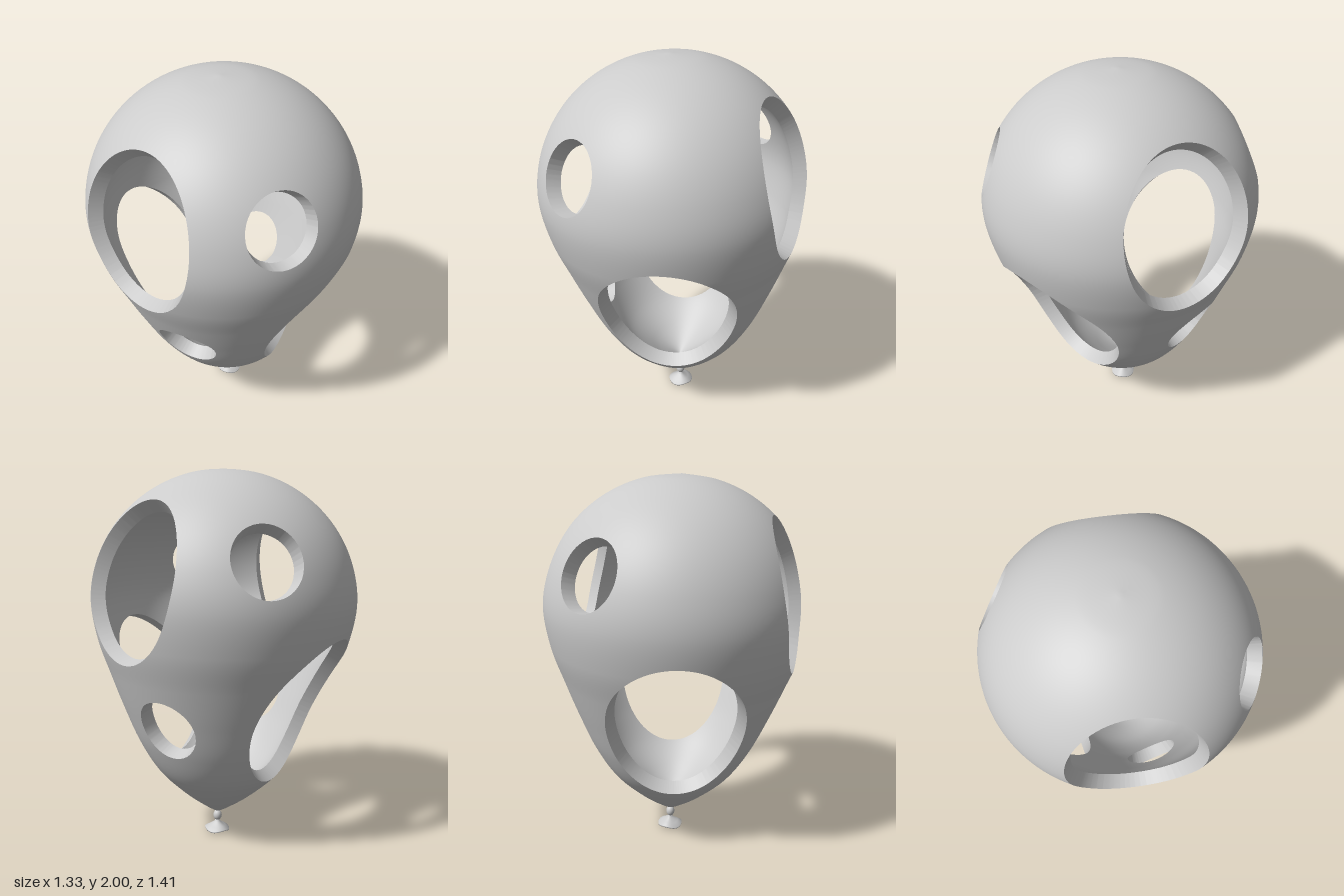
import * as THREE from 'three';
import { mergeVertices } from 'three/addons/utils/BufferGeometryUtils.js';

const THICKNESS = 0.075;
const TILT = 0.036;
const PIVOT_Y = 1.3;

// Balloon profile (radius, height): tapering neck, then a dome
const neck = [[0.008, 0.115], [0.08, 0.16], [0.2, 0.25], [0.34, 0.385], [0.445, 0.55],
  [0.53, 0.74], [0.605, 0.93], [0.67, 1.11]];
const points = neck.map(([r, y]) => new THREE.Vector2(r, y));
for (let i = 0; i <= 6; i++) {
  const a = (i / 6) * Math.PI / 2;
  points.push(new THREE.Vector2(0.705 * Math.cos(a), 1.31 + 0.69 * Math.sin(a)));
}
const profile = new THREE.SplineCurve(points);

// Oval openings: azimuth from the front, centre on the profile, slope direction, half sizes.
// Each one repeats half a turn around the axis.
const holes = [];
for (const [deg, r, y, sr, sy, a, b] of [
  [-17.5, 0.66, 1.555, -0.34, 0.94, 0.174, 0.18],
  [24, 0.515, 0.768, 0.4, 0.917, 0.35, 0.437],
  [97.5, 0.557, 1.42, -0.2, 0.98, 0.335, 0.405],
  [114, 0.515, 0.7, 0.41, 0.912, 0.16, 0.17],
]) {
  for (const turn of [0, 180]) {
    const az = THREE.MathUtils.degToRad(deg + turn);
    holes.push({ c: Math.cos(az), s: Math.sin(az), r, y, sr, sy, a, b });
  }
}

// Surface point at (u around, v up): outer and inner positions, normal, and opening distance
function sample(u, v) {
  const az = u * Math.PI * 2, s = Math.sin(az), c = Math.cos(az);
  const p = profile.getPoint(v);
  if (v >= 1) p.x = 0;
  const t = profile.getTangent(v);
  const nr = v >= 1 ? 0 : t.y, ny = v >= 1 ? 1 : -t.x;
  const ri = Math.max(p.x - THICKNESS * nr, 0), yi = p.y - THICKNESS * ny;
  const outer = [p.x * s, p.y, p.x * c];
  let f = 10;
  for (const h of holes) {
    const radial = outer[0] * h.s + outer[2] * h.c;
    if (radial <= 0) continue;
    const across = outer[0] * h.c - outer[2] * h.s;
    const along = (radial - h.r) * h.sr + (p.y - h.y) * h.sy;
    f = Math.min(f, Math.hypot(across / h.a, along / h.b) - 1);
  }
  return { u, v, f, outer, inner: [ri * s, yi, ri * c], normal: [nr * s, ny, nr * c] };
}

// Point on an opening's rim between a kept and a removed sample
function rimPoint(keep, drop) {
  let lo = 0, hi = 1, m;
  for (let i = 0; i < 16; i++) {
    const k = (lo + hi) / 2;
    m = sample(keep.u + (drop.u - keep.u) * k, keep.v + (drop.v - keep.v) * k);
    if (m.f > 0) lo = k; else hi = k;
  }
  return m;
}

function makeGeometry(positions, normals) {
  const g = new THREE.BufferGeometry();
  g.setAttribute('position', new THREE.Float32BufferAttribute(positions, 3));
  if (normals) g.setAttribute('normal', new THREE.Float32BufferAttribute(normals, 3));
  return g;
}

// Outer skin, inner skin and the rim walls of the openings
function buildShell() {
  const NU = 144, NV = 96;
  const out = [], outN = [], inn = [], innN = [], rim = [];
  const grid = [];
  for (let j = 0; j <= NV; j++) {
    grid.push([]);
    for (let i = 0; i <= NU; i++) grid[j].push(sample(i / NU, j / NV));
  }
  const addTriangle = (tri) => {
    const poly = [];
    let exit = null, entry = null;
    tri.forEach((a, k) => {
      const b = tri[(k + 1) % 3];
      if (a.f > 0) poly.push(a);
      if (a.f > 0 && b.f <= 0) poly.push(exit = rimPoint(a, b));
      if (a.f <= 0 && b.f > 0) poly.push(entry = rimPoint(b, a));
    });
    for (let k = 1; k + 1 < poly.length; k++) {
      for (const q of [poly[0], poly[k], poly[k + 1]]) {
        out.push(...q.outer);
        outN.push(...q.normal);
      }
      for (const q of [poly[0], poly[k + 1], poly[k]]) {
        inn.push(...q.inner);
        innN.push(...q.normal.map((n) => -n));
      }
    }
    if (exit && entry) {
      rim.push(...entry.outer, ...exit.outer, ...exit.inner);
      rim.push(...entry.outer, ...exit.inner, ...entry.inner);
    }
  };
  for (let j = 0; j < NV; j++) {
    for (let i = 0; i < NU; i++) {
      const a = grid[j][i], b = grid[j][i + 1], c = grid[j + 1][i + 1], d = grid[j + 1][i];
      addTriangle([a, b, c]);
      addTriangle([a, c, d]);
    }
  }
  const rimGeometry = mergeVertices(makeGeometry(rim), 1e-4);
  rimGeometry.computeVertexNormals();
  return { outerSkin: makeGeometry(out, outN), innerSkin: makeGeometry(inn, innN), openingRims: rimGeometry };
}

export function createModel() {
  const model = new THREE.Group();
  model.name = 'balloon';
  const material = new THREE.MeshStandardMaterial({ color: 0xcccccc });
  const tilted = new THREE.Group();
  tilted.name = 'tiltedBalloon';
  tilted.rotation.z = TILT;
  tilted.position.set(PIVOT_Y * Math.sin(TILT), PIVOT_Y * (1 - Math.cos(TILT)), 0);
  model.add(tilted);

  const add = (name, geometry) => {
    const mesh = new THREE.Mesh(geometry, material);
    mesh.name = name;
    tilted.add(mesh);
    return mesh;
  };
  for (const [name, geometry] of Object.entries(buildShell())) add(name, geometry);

  // Tied knot
  const knot = add('knot', new THREE.SphereGeometry(0.024, 24, 16));
  knot.scale.y = 1.25;
  knot.position.y = 0.09;

  // Flared mouth with a gently wavy lip
  const lip = [[0, 0.022], [0.05, 0.009], [0.068, 0.009], [0.069, 0.016], [0.045, 0.032], [0.018, 0.05], [0.01, 0.066]];
  const mouth = new THREE.LatheGeometry(lip.map(([r, y]) => new THREE.Vector2(r, y)), 40);
  const pos = mouth.attributes.position;
  for (let i = 0; i < pos.count; i++) {
    const x = pos.getX(i), z = pos.getZ(i);
    pos.setY(i, pos.getY(i) + 0.005 * Math.sin(3 * Math.atan2(z, x)) * Math.hypot(x, z) / 0.07);
  }
  mouth.computeVertexNormals();
  add('mouth', mouth);
  return model;
}
